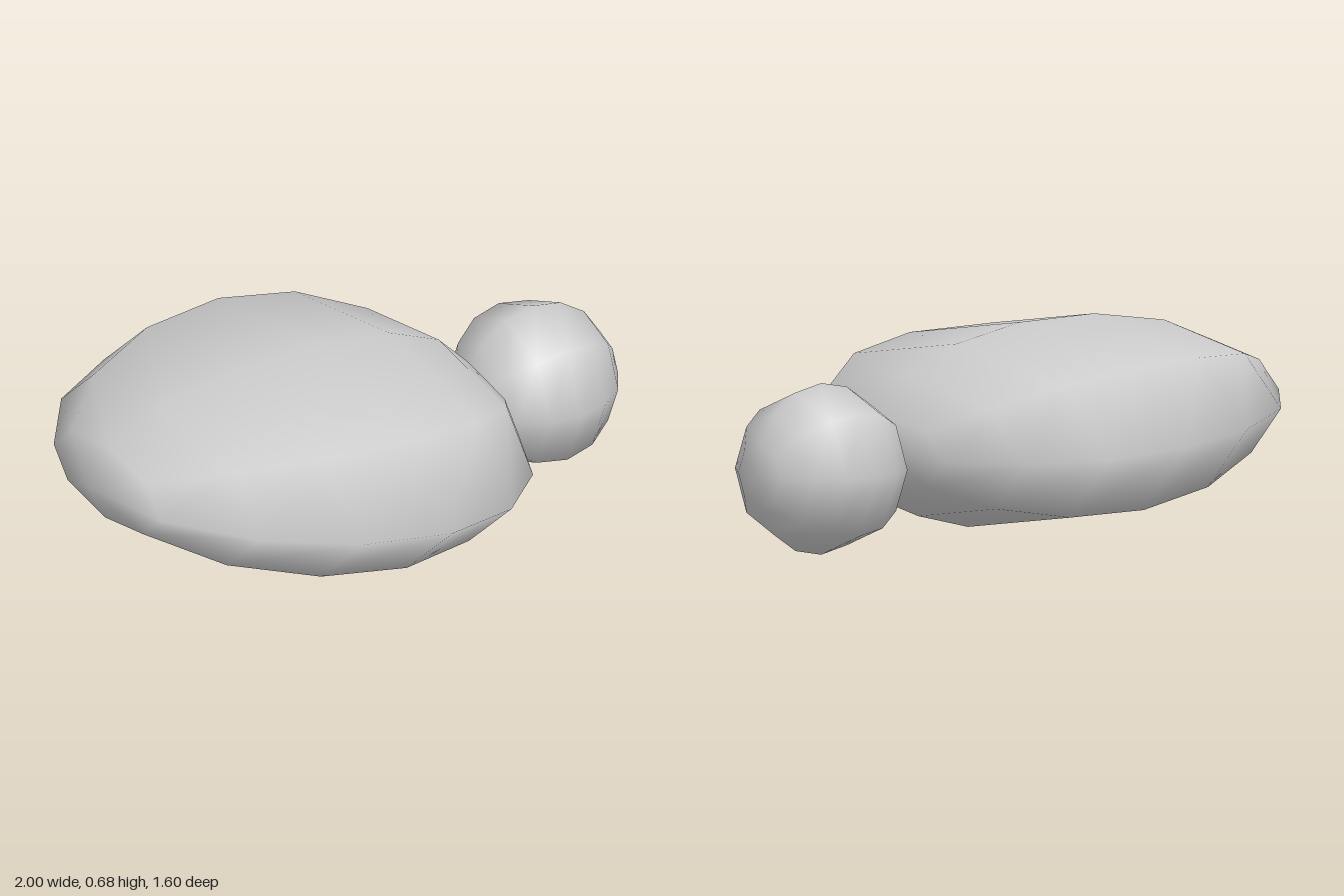
import * as THREE from 'three';
import { mergeVertices } from 'three/addons/utils/BufferGeometryUtils.js';

// Low-poly ball with its poles on the x axis
function lowPolyBall() {
  const g = new THREE.SphereGeometry(1, 8, 8);
  g.rotateZ(-Math.PI / 2);
  return g;
}

// Weld the seam so the shading runs smoothly all round
function smooth(geometry) {
  geometry.deleteAttribute('uv');
  geometry.deleteAttribute('normal');
  const g = mergeVertices(geometry, 1e-4);
  g.computeVertexNormals();
  return g;
}

export function createModel() {
  const group = new THREE.Group();
  const material = new THREE.MeshStandardMaterial({ color: 0xcccccc });

  // Flattened body: long and pointed towards -x, blunt towards the head
  const bodyGeometry = lowPolyBall();
  const p = bodyGeometry.attributes.position;
  for (let i = 0; i < p.count; i++) {
    const s = p.getX(i);
    p.setXYZ(i, 0.75 * s - 0.12 * s * s, p.getY(i) * 0.323, p.getZ(i) * 0.798);
  }
  const body = new THREE.Mesh(smooth(bodyGeometry), material);
  body.name = 'body';
  body.rotation.z = -0.083;
  body.position.set(-0.13, 0.356, 0);
  group.add(body);

  // Round head
  const head = new THREE.Mesh(smooth(lowPolyBall().scale(0.277, 0.277, 0.277)), material);
  head.name = 'head';
  head.position.set(0.722, 0.278, 0);
  group.add(head);

  return group;
}
